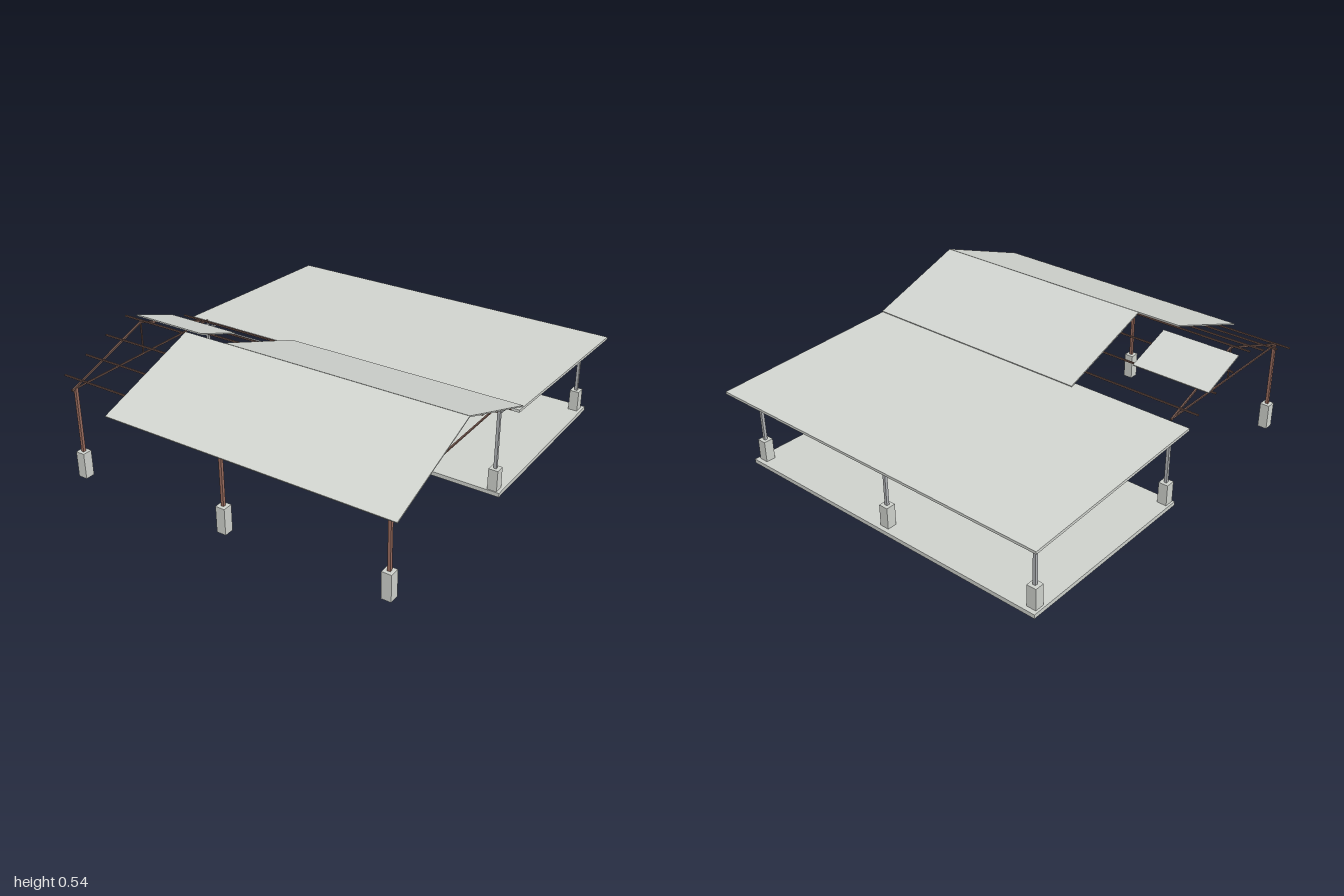
import * as THREE from 'three';

const mat = (name, color) => {
  const m = new THREE.MeshStandardMaterial({ color });
  m.name = name;
  return m;
};

export function createModel() {
  const sheetMat = mat('roof sheet grey', 0xd3d6d1);
  const concrete = mat('concrete grey', 0xd0d3ce);
  const steel = mat('steel grey', 0xb2b5b8);
  const rust = mat('rust brown', 0x9a6c5e);
  const darkRust = mat('dark brown', 0x76594f);
  const clay = mat('clay orange', 0xd79376);
  const ochre = mat('ochre yellow', 0xe0ca76);

  const model = new THREE.Group();
  model.name = 'shelter';
  // the whole building stands slightly turned on its plot
  model.rotation.y = -0.2;

  const add = (name, geo, m, x, y, z) => {
    const mesh = new THREE.Mesh(geo, m);
    mesh.name = name;
    mesh.position.set(x, y, z);
    model.add(mesh);
    return mesh;
  };
  // upright block from y0 to y1
  const block = (name, m, x, z, w, d, y0, y1) =>
    add(name, new THREE.BoxGeometry(w, y1 - y0, d), m, x, (y0 + y1) / 2, z);
  // square bar between two points
  const bar = (name, m, a, b, t) => {
    const A = new THREE.Vector3(...a), B = new THREE.Vector3(...b);
    const dir = B.clone().sub(A), len = dir.length();
    const c = A.add(B).multiplyScalar(0.5);
    const mesh = add(name, new THREE.BoxGeometry(t, t, len), m, c.x, c.y, c.z);
    mesh.quaternion.setFromUnitVectors(new THREE.Vector3(0, 0, 1), dir.normalize());
  };
  // sloped sheet whose top runs from (zA, yA) to (zB, yB), zA < zB
  const sheet = (name, x0, x1, zA, yA, zB, yB, t) => {
    const len = Math.hypot(zB - zA, yB - yA);
    const mesh = add(name, new THREE.BoxGeometry(x1 - x0, t, len), sheetMat,
      (x0 + x1) / 2, (yA + yB) / 2 - t / 2, (zA + zB) / 2);
    mesh.rotation.x = -Math.atan2(yB - yA, zB - zA);
  };

  const frames = [-0.704, -0.009, 0.686];
  const zFront = 0.777, zMid = 0.01, zBack = -0.763, ridge = 0.407;
  const gableY = z => 0.537 - 0.355 * Math.abs(z - ridge);
  const leanY = z => 0.379 + 0.044 * (z - 0.005);

  // floor slab
  block('floorSlab', concrete, -0.007, -0.383, 1.452, 0.836, 0.003, 0.02);

  // roofs
  sheet('rearRoof', -0.786, 0.763, -0.86, leanY(-0.86), 0.006, leanY(0.006), 0.011);
  sheet('gableRoofRear', -0.278, 0.761, -0.026, gableY(-0.026), ridge, gableY(ridge), 0.005);
  sheet('gableRoofFront', -0.468, 0.761, ridge, gableY(ridge), 0.864, gableY(0.864), 0.005);
  sheet('looseRoofPanel', -0.763, -0.427, 0.162, gableY(0.162), 0.366, gableY(0.366), 0.005);

  for (const x of frames) {
    // footings and posts
    for (const z of [zFront, zMid, zBack]) block('footing', concrete, x, z, 0.04, 0.04, 0, 0.11);
    block('frontPost', rust, x, zFront, 0.012, 0.012, 0.11, 0.385);
    block('middlePost', steel, x, zMid, 0.012, 0.012, 0.11, 0.365);
    block('rearPost', steel, x, zBack, 0.012, 0.012, 0.11, 0.33);

    // gable truss
    const apex = [x, 0.52, ridge];
    bar('gableTie', darkRust, [x, 0.383, zMid], [x, 0.383, zFront + 0.02], 0.006);
    bar('gableRafter', darkRust, [x, 0.38, zMid], apex, 0.007);
    bar('gableRafter', darkRust, [x, 0.38, zFront + 0.02], apex, 0.007);
    bar('kingPost', darkRust, [x, 0.383, ridge], apex, 0.005);

    // lattice girder under the rear roof
    const top = z => leanY(z) - 0.015, low = z => leanY(z) - 0.036;
    bar('girderTop', steel, [x, top(-0.82), -0.82], [x, top(0), 0], 0.006);
    bar('girderBottom', steel, [x, low(zBack), zBack], [x, low(0), 0], 0.006);
    const n = 14, step = -zBack / n;
    for (let i = 0; i < n; i++) {
      const a = zBack + i * step, b = a + step;
      const [f, g] = i % 2 ? [top, low] : [low, top];
      bar('girderWeb', steel, [x, f(a), a], [x, g(b), b], 0.003);
    }
  }

  // purlins of the gable roof, running past the open end
  for (let i = -3; i <= 3; i++) {
    const z = ridge + i * 0.1145;
    bar('purlin', darkRust, [-0.785, gableY(z) - 0.009, z], [0.755, gableY(z) - 0.009, z], 0.006);
  }

  // long beams of the rear roof
  bar('rearBeam', steel, [frames[0], 0.313, zBack], [frames[2], 0.313, zBack], 0.008);
  bar('middleBeam', steel, [frames[0], 0.345, -0.002], [frames[2], 0.345, -0.002], 0.008);

  // storage boxes
  block('orangeBox', clay, 0.279, 0.245, 0.178, 0.138, 0.004, 0.155);
  block('yellowBox', ochre, 0.1, -0.287, 0.176, 0.104, 0.02, 0.145);
  block('greyBox', concrete, -0.242, -0.137, 0.138, 0.128, 0.02, 0.195);
  block('boxLid', clay, -0.244, -0.138, 0.09, 0.084, 0.195, 0.221);

  const root = new THREE.Group();
  root.name = 'openShelter';
  root.add(model);
  return root;
}
